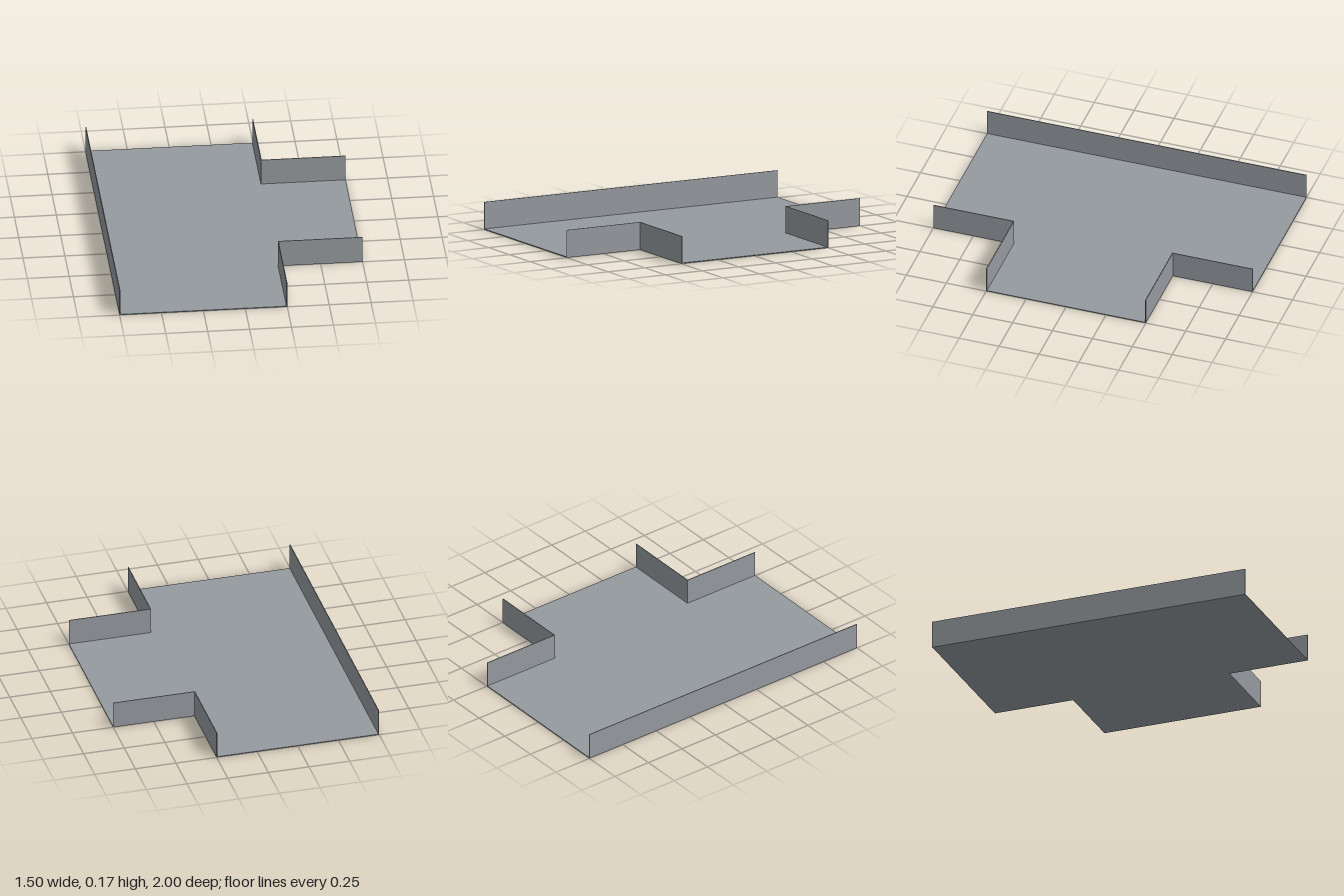
import * as THREE from 'three';

const T = 0.005; // sheet thickness
const H = 0.167; // wall height

export function createModel() {
  const model = new THREE.Group();
  model.name = 'trayTee';
  const steel = new THREE.MeshStandardMaterial({ color: 0x959a9f });
  steel.name = 'galvanised grey';

  const add = (name, geometry) => {
    const mesh = new THREE.Mesh(geometry, steel);
    mesh.name = name;
    model.add(mesh);
    return mesh;
  };

  // Upright sheet spanning an x and z range, standing on the floor sheet
  const wall = (name, x0, x1, z0, z1) =>
    add(name, new THREE.BoxGeometry(x1 - x0, H - T, z1 - z0))
      .position.set((x0 + x1) / 2, (H + T) / 2, (z0 + z1) / 2);

  // T-shaped floor
  const outline = new THREE.Shape([
    [-0.75, -1], [0.25, -1], [0.25, -0.5], [0.75, -0.5],
    [0.75, 0.5], [0.25, 0.5], [0.25, 1], [-0.75, 1],
  ].map(([x, y]) => new THREE.Vector2(x, y)));
  const floor = new THREE.ExtrudeGeometry(outline, { depth: T, bevelEnabled: false });
  floor.rotateX(-Math.PI / 2);
  add('floor', floor);

  // Long wall of the main run
  wall('longWall', -0.75, -0.75 + T, -1, 1);

  // Mirrored corner walls beside the branch
  for (const [end, s] of [['front', 1], ['back', -1]]) {
    const span = (a, b) => (s > 0 ? [a, b] : [-b, -a]);
    wall(end + 'RunWall', 0.25 - T, 0.25, ...span(0.5 - T, 1));
    wall(end + 'BranchWall', 0.25, 0.75, ...span(0.5 - T, 0.5));
  }

  return model;
}
